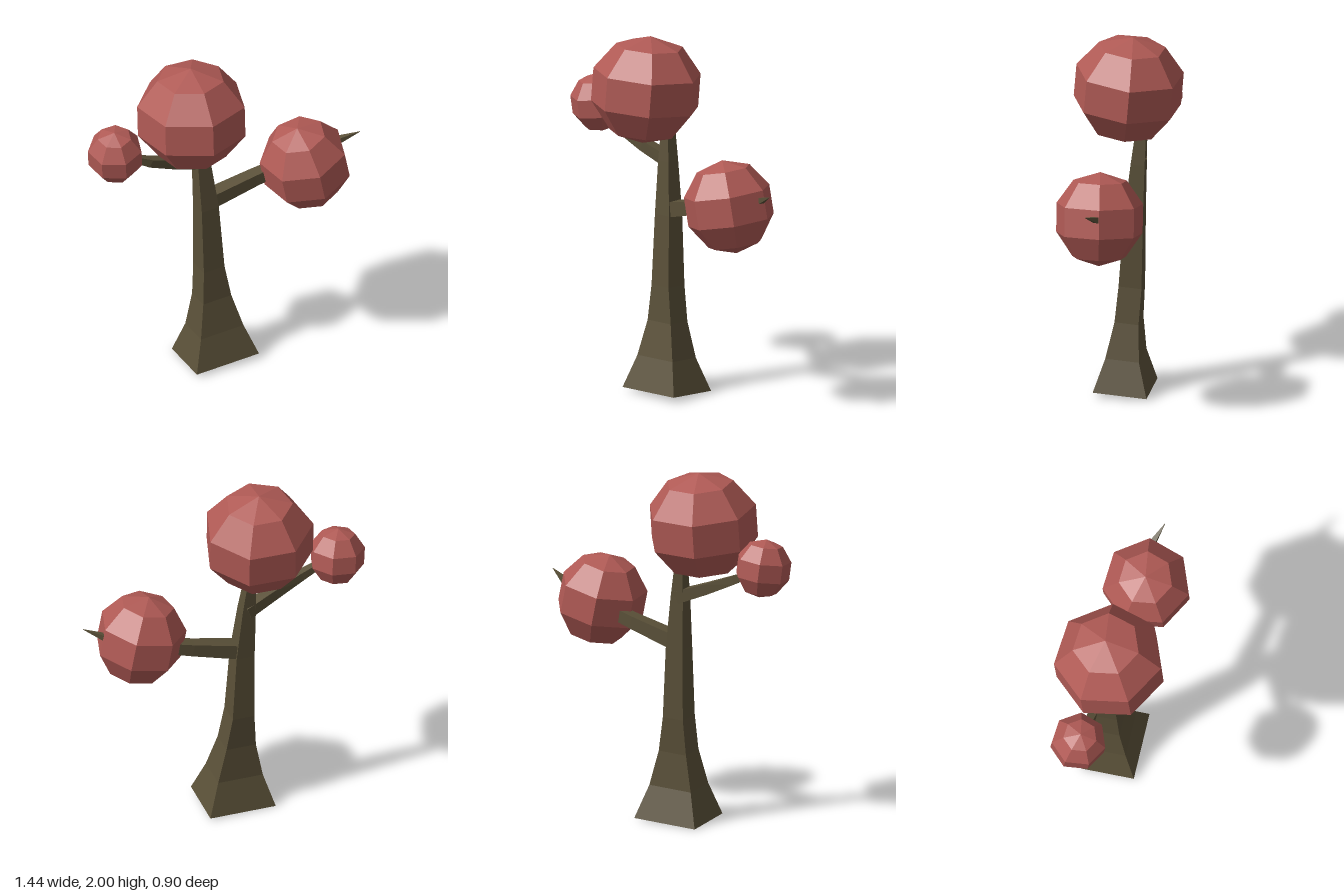
import * as THREE from 'three';

const bark = new THREE.MeshStandardMaterial({ color: 0x5a5038, flatShading: true });
const leaf = new THREE.MeshStandardMaterial({ color: 0xb05a55, flatShading: true });
const V = (x, y, z) => new THREE.Vector3(x, y, z);

// Four corners around a centre, counterclockwise seen from the growing end
const ring = (c, u, v, hu, hv) => [[1, 1], [1, -1], [-1, -1], [-1, 1]].map(([a, b]) =>
  c.clone().addScaledVector(u, a * hu).addScaledVector(v, b * hv));

// Capped four-sided skin through a list of rings
function loft(rings, name) {
  const pts = [];
  const quad = (a, b, c, d) => pts.push(a, b, c, a, c, d);
  for (let i = 0; i < rings.length - 1; i++) {
    for (let k = 0; k < 4; k++) {
      const n = (k + 1) % 4;
      quad(rings[i][k], rings[i][n], rings[i + 1][n], rings[i + 1][k]);
    }
  }
  const first = rings[0], last = rings[rings.length - 1];
  quad(first[0], first[3], first[2], first[1]);
  quad(...last);
  const geo = new THREE.BufferGeometry().setFromPoints(pts);
  geo.computeVertexNormals();
  const mesh = new THREE.Mesh(geo, bark);
  mesh.name = name;
  return mesh;
}

// Branch from stations [x, y, z, half thickness]
function branch(stations, name) {
  const c = stations.map(([x, y, z]) => V(x, y, z));
  return loft(stations.map((s, i) => {
    const t = c[Math.min(i + 1, c.length - 1)].clone().sub(c[Math.max(i - 1, 0)]).normalize();
    const side = t.clone().cross(V(0, 1, 0)).normalize();
    return ring(c[i], side, side.clone().cross(t), s[3], s[3]);
  }), name);
}

// Seven-sided faceted ball, its pole leaning along the given axis
function foliage(name, centre, rx, ry, axis) {
  const geo = new THREE.SphereGeometry(1, 7, 5, Math.PI * 1.5);
  const mesh = new THREE.Mesh(geo, leaf);
  mesh.scale.set(rx, ry, rx);
  mesh.position.set(...centre);
  mesh.quaternion.setFromUnitVectors(V(0, 1, 0), V(...axis).normalize());
  mesh.name = name;
  return mesh;
}

export function createModel() {
  const tree = new THREE.Group();
  tree.name = 'tree';

  // Flared trunk: height, centre x, centre z, half sizes
  const u = V(0.932, 0.03, 0.362), v = V(-0.366, 0.07, 0.931);
  const trunk = [
    [0.015, -0.055, -0.03, 0.193, 0.15],
    [0.2, -0.058, -0.035, 0.132, 0.094],
    [0.4, -0.06, -0.053, 0.087, 0.067],
    [0.6, -0.064, -0.07, 0.064, 0.064],
    [1.0, -0.068, -0.088, 0.053, 0.053],
    [1.3, -0.08, -0.112, 0.039, 0.039],
    [1.44, -0.085, -0.125, 0.028, 0.032],
    [1.56, -0.09, -0.13, 0.022, 0.024],
  ];
  tree.add(loft(trunk.map(([y, x, z, hu, hv]) => ring(V(x, y, z), u, v, hu, hv)), 'trunk'));

  // Side branches
  tree.add(branch([
    [-0.06, 1.03, -0.09, 0.043], [0.2, 1.1, 0.03, 0.036], [0.45, 1.17, 0.16, 0.03],
    [0.61, 1.232, 0.262, 0.02], [0.71, 1.29, 0.36, 0.001],
  ], 'leftBranch'));
  tree.add(branch([
    [-0.07, 1.295, -0.12, 0.035], [-0.24, 1.36, -0.16, 0.03],
    [-0.4, 1.43, -0.21, 0.024], [-0.57, 1.53, -0.3, 0.012],
  ], 'rightBranch'));

  // Leaf balls
  tree.add(foliage('crown', [-0.195, 1.7, -0.08], 0.32, 0.302, [0.03, 0.6, -0.045]));
  tree.add(foliage('leftFoliage', [0.415, 1.17, 0.215], 0.257, 0.262, [-0.1, 0.52, -0.03]));
  tree.add(foliage('rightFoliage', [-0.573, 1.53, -0.31], 0.16, 0.165, [-0.04, 0.33, 0.02]));
  return tree;
}
